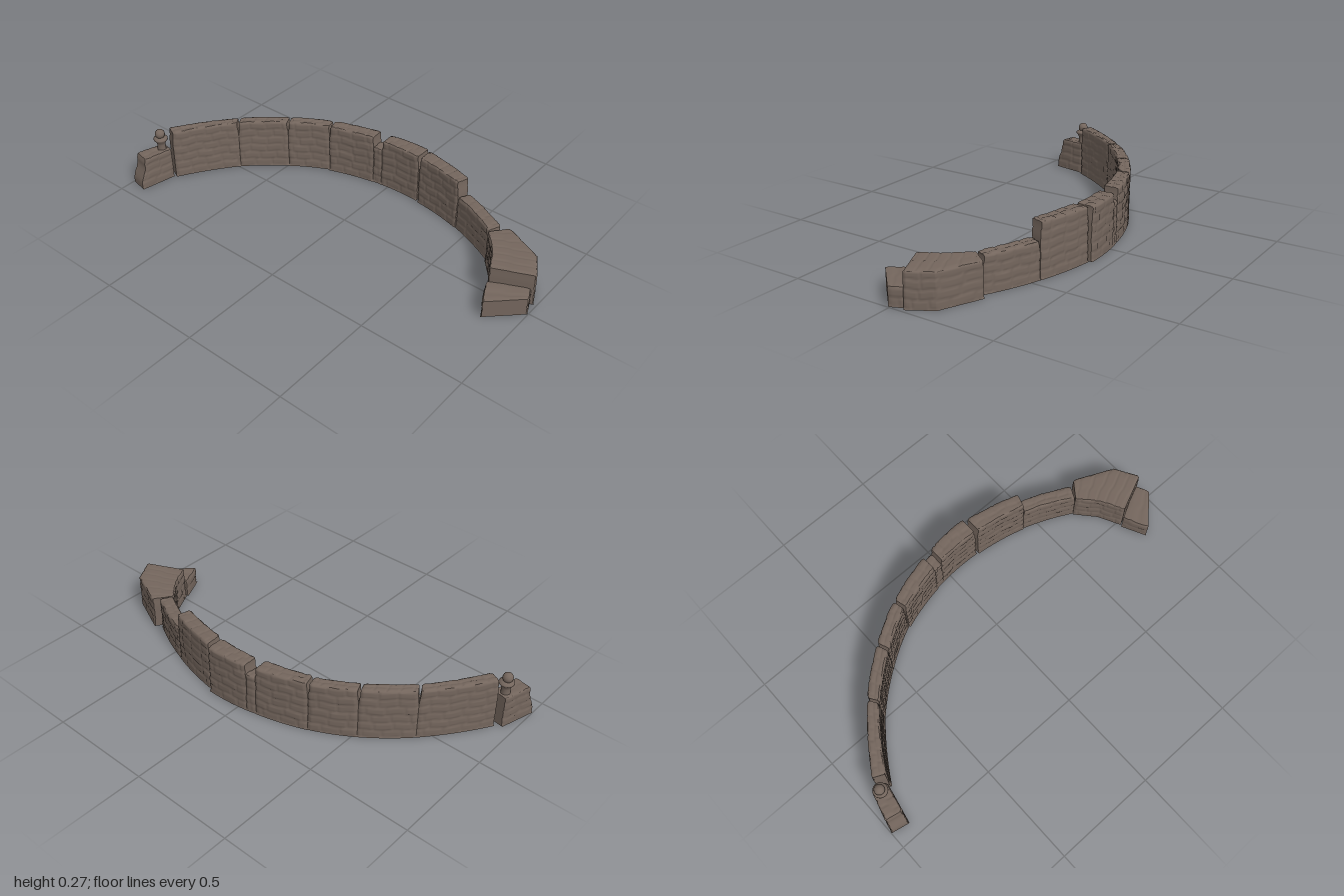
import * as THREE from 'three';

const stone = new THREE.MeshStandardMaterial({ color: 0x74665d });
stone.name = 'weathered stone';

const V = (p) => new THREE.Vector2(p[0], p[1]);
const hash = (a, b) => {
  const s = Math.sin(a * 127.1 + b * 311.7) * 43758.5453;
  return s - Math.floor(s);
};
const smooth = THREE.MathUtils.smoothstep;

// Carved depth of staggered masonry joints at (s, t)
function joints(s, t, seed, course, length) {
  const wobble = 0.003 * Math.sin(s * 45 + seed);
  const row = Math.floor((t + wobble) / course);
  const dt = Math.abs((t + wobble) / course - row - 0.5) * course;
  const k = s / length + hash(row, seed);
  const col = Math.floor(k);
  const ds = Math.abs(k - col - 0.5) * length;
  const groove = Math.max(smooth(dt, course / 2 - 0.008, course / 2), smooth(ds, length / 2 - 0.008, length / 2));
  return groove * 0.0035 + hash(row + seed, col) * 0.0025;
}

// Plan edge: an arc bowed outwards, or a bent line through a middle point
function planEdge(points, bow) {
  const p = points.map(V);
  if (p.length === 3) {
    return (u) => (u < 0.5 ? p[0].clone().lerp(p[1], u * 2) : p[1].clone().lerp(p[2], u * 2 - 1));
  }
  const d = p[1].clone().sub(p[0]);
  const out = new THREE.Vector2(d.y, -d.x).multiplyScalar(bow);
  return (u) => p[0].clone().lerp(p[1], u).addScaledVector(out, 4 * u * (1 - u));
}

// One masonry block between an outer and an inner plan edge
function block({ name, outer, inner, height, bow = 0.025, notch = 0.006, slope = 0, broken = 0 }, seed) {
  const outerAt = planEdge(outer, bow), innerAt = planEdge(inner, bow);
  const length = V(outer[0]).distanceTo(V(outer[outer.length - 1]));
  const nu = 2 * Math.max(3, Math.round(length / 0.013));
  const geo = new THREE.BoxGeometry(1, 1, 1, nu, Math.round(height / 0.007), 10);
  const pos = geo.attributes.position;
  for (let i = 0; i < pos.count; i++) {
    let u = pos.getX(i) + 0.5;
    const v = pos.getY(i) + 0.5, w = pos.getZ(i) + 0.5;
    const s = u * length;
    let y = v * (height + slope * (u - 0.5));
    const endDistance = Math.min(u, 1 - u) * length;

    // Ends draw back near the top, leaving notches between blocks
    const back = notch * smooth(v, 0.68, 0.95) / length;
    u = back + u * (1 - 2 * back);
    // Crumbled slanting start
    u += (1 - u) * broken * (smooth(v, 0.15, 0.75) * 0.8 + 0.2 * smooth(v, 0.8, 1));

    const a = outerAt(u), b = innerAt(u);
    const across = b.clone().sub(a);
    const width = across.length();
    across.normalize();

    // Joints and softened corners
    let inset = joints(s, y, seed + (w > 0.5 ? 20 : 0), 0.043, 0.085);
    inset += 0.005 * (1 - smooth(endDistance, 0, 0.012)) + 0.004 * smooth(y, height - 0.009, height);
    inset = v === 0 ? 0.001 : inset;
    if (v === 1) {
      y -= joints(s, w * width, seed + 40, width * 0.55, 0.06);
      y -= 0.003 * (1 - smooth(endDistance, 0, 0.01));
    }
    const q = a.addScaledVector(across, w * width + inset * (1 - 2 * w));
    pos.setXYZ(i, q.x, y + 0.003, q.y);
  }
  geo.computeVertexNormals();
  const mesh = new THREE.Mesh(geo, stone);
  mesh.name = name;
  return mesh;
}

export function createModel() {
  const group = new THREE.Group();
  group.name = 'curvedStoneWall';

  // Plan points are [x, z], running from the back end to the front end
  const blocks = [
    { name: 'backEndBlock', outer: [[-0.418, -1.0], [-0.25, -0.952]], inner: [[-0.437, -0.91], [-0.262, -0.875]], height: 0.163, bow: 0, notch: 0, broken: 0.2 },
    { name: 'tallWall1', outer: [[-0.232, -0.922], [0.055, -0.712]], inner: [[-0.26, -0.862], [0.005, -0.68]], height: 0.26 },
    { name: 'tallWall2', outer: [[0.055, -0.712], [0.222, -0.52]], inner: [[0.005, -0.68], [0.163, -0.495]], height: 0.26 },
    { name: 'tallWall3', outer: [[0.222, -0.52], [0.328, -0.33]], inner: [[0.163, -0.495], [0.268, -0.315]], height: 0.26 },
    { name: 'tallWall4', outer: [[0.33, -0.33], [0.403, -0.09]], inner: [[0.262, -0.312], [0.322, -0.085]], height: 0.26 },
    { name: 'brokenGapWall', outer: [[0.4, -0.093], [0.412, -0.042]], inner: [[0.324, -0.09], [0.33, -0.04]], height: 0.205, notch: 0 },
    { name: 'tallWall5', outer: [[0.412, -0.045], [0.428, 0.172]], inner: [[0.33, -0.043], [0.334, 0.172]], height: 0.255 },
    { name: 'tallWall6', outer: [[0.413, 0.178], [0.35, 0.452]], inner: [[0.328, 0.182], [0.28, 0.43]], height: 0.259 },
    { name: 'lowWall', outer: [[0.348, 0.455], [0.24, 0.7]], inner: [[0.284, 0.43], [0.178, 0.67]], height: 0.175, slope: -0.008 },
    { name: 'flaredBlock', outer: [[0.262, 0.73], [0.175, 0.922], [0.062, 0.988]], inner: [[0.175, 0.665], [0.085, 0.745], [-0.022, 0.8]], height: 0.166, notch: 0.002 },
    { name: 'frontEndBlock', outer: [[0.06, 0.97], [-0.005, 0.998]], inner: [[-0.03, 0.795], [-0.146, 0.852]], height: 0.092, bow: 0, notch: 0 },
  ];
  blocks.forEach((b, i) => group.add(block(b, i * 3 + 1)));

  // Finial: stem, flared collar and ball
  const profile = [[0.024, 0.14], [0.021, 0.165], [0.02, 0.19], [0.024, 0.203], [0.034, 0.216], [0.034, 0.223], [0.022, 0.231], [0, 0.234]];
  const post = new THREE.Mesh(new THREE.LatheGeometry(profile.map(V), 20), stone);
  post.name = 'finialPost';
  post.position.set(-0.284, 0, -0.922);
  const ball = new THREE.Mesh(new THREE.SphereGeometry(0.024, 20, 14), stone);
  ball.name = 'finialBall';
  ball.position.set(-0.284, 0.246, -0.924);
  group.add(post, ball);
  return group;
}
